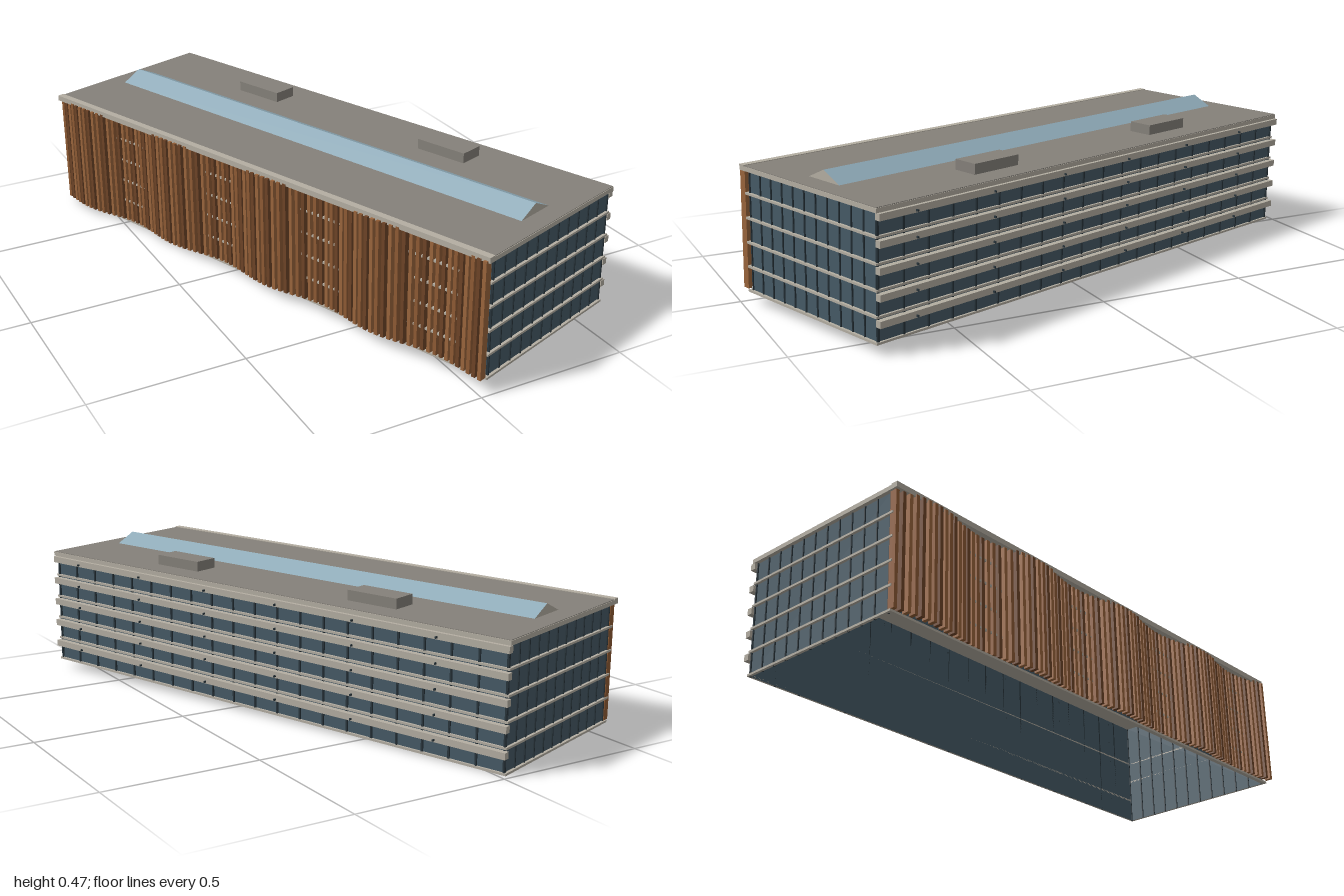
import * as THREE from 'three';

const mat = (color, side = THREE.FrontSide) => new THREE.MeshStandardMaterial({ color, side, flatShading: true });
const GLASS = mat(0x465a66, THREE.DoubleSide);
const FRAME = mat(0x28343b);
const SLAB = mat(0xb4aea2);
const ROOF = mat(0x85817a);
const SKY = mat(0x8fabb9, THREE.DoubleSide);
const WOODS = [mat(0x8f5b34), mat(0x6e4427), mat(0x9a653c)];

// Plan: x across (wood screen at -x, balconies at +x), z along the block
const WALL = { x0: -0.285, x1: 0.305, z: 0.925 };
const TOP = 0.385, FLOORS = 5, STEP = TOP / FLOORS;

// Box given by its lower and upper corners
function box(parent, name, m, [x0, y0, z0], [x1, y1, z1]) {
  const mesh = new THREE.Mesh(new THREE.BoxGeometry(x1 - x0, y1 - y0, z1 - z0), m);
  mesh.position.set((x0 + x1) / 2, (y0 + y1) / 2, (z0 + z1) / 2);
  mesh.name = name;
  parent.add(mesh);
  return mesh;
}

function group(parent, name) {
  const g = new THREE.Group();
  g.name = name;
  parent.add(g);
  return g;
}

// Thin slab edge running round the walls
function slabEdge(parent, name, y, h, outX0, outX1, outZ) {
  const g = group(parent, name);
  const { x0, x1, z } = WALL;
  for (const s of [-1, 1]) {
    const [a, b] = s < 0 ? [-outZ, -z] : [z, outZ];
    box(g, 'endEdge', SLAB, [outX0, y, a], [outX1, y + h, b]);
  }
  box(g, 'screenSideEdge', SLAB, [outX0, y, -z], [x0, y + h, z]);
  box(g, 'balconySideEdge', SLAB, [x1, y, -z], [outX1, y + h, z]);
}

export function createModel() {
  const root = new THREE.Group();
  root.name = 'officeBlock';
  root.rotation.y = 0.34;
  // The whole block leans very slightly
  const b = group(root, 'building');
  b.position.y = 0.022;
  b.rotation.set(-0.0168, 0, -0.0123);
  const { x0, x1, z } = WALL;

  // Glass walls, open underneath
  const walls = group(b, 'glassWalls');
  const wall = (name, w, x, zz, ry) => {
    const m = new THREE.Mesh(new THREE.PlaneGeometry(w, TOP), GLASS);
    m.position.set(x, TOP / 2, zz);
    m.rotation.y = ry;
    m.name = name;
    walls.add(m);
  };
  wall('frontWall', x1 - x0, (x0 + x1) / 2, z, 0);
  wall('backWall', x1 - x0, (x0 + x1) / 2, -z, Math.PI);
  wall('leftWall', 2 * z, x1, 0, Math.PI / 2);
  wall('rightWall', 2 * z, x0, 0, -Math.PI / 2);

  // Mullions on the ends and the balcony side
  const mullions = group(b, 'mullions');
  for (let i = 0; i <= 11; i++) {
    const x = x0 + (x1 - x0) * i / 11;
    for (const s of [-1, 1])
      box(mullions, 'endMullion', FRAME, [x - 0.002, 0, s * z - 0.004], [x + 0.002, TOP, s * z + 0.004]);
  }
  for (let i = 0; i <= 20; i++) {
    const zz = -z + 2 * z * i / 20;
    box(mullions, 'sideMullion', FRAME, [x1, 0, zz - 0.003], [x1 + 0.005, TOP, zz + 0.003]);
  }

  // Floor edges
  for (let f = 0; f < FLOORS; f++)
    slabEdge(b, f ? 'floorEdge' : 'baseEdge', f * STEP, 0.007, -0.3, x1 + 0.007, z + 0.009);

  // Projecting sunshade bands with their brackets
  const bands = group(b, 'sunshades');
  for (let f = 0; f < FLOORS; f++) {
    const y = f * STEP + 0.052;
    box(bands, 'sunshade', SLAB, [x1 + 0.002, y, -0.938], [0.326, y + 0.021, 0.932]);
    for (let i = 0; i < 6; i++) {
      const zz = -0.7 + i * 0.3;
      box(bands, 'bracket', FRAME, [x1, y + 0.004, zz - 0.002], [0.334, y + 0.01, zz + 0.002]);
    }
  }

  // Wooden fins standing on a wavy line
  const screen = group(b, 'woodScreen');
  const fins = 84;
  for (let i = 0; i < fins; i++) {
    const zz = -0.925 + 1.85 * i / (fins - 1);
    const x = -0.304 - 0.014 * Math.cos(2 * Math.PI * (zz - 0.09) / 0.44);
    box(screen, 'fin', WOODS[i % 3], [x - 0.012, 0.008, zz - 0.006], [x + 0.012, 0.388, zz + 0.006]);
  }

  // Roof slab with pale rim
  const roof = group(b, 'roof');
  box(roof, 'roofSlab', SLAB, [-0.32, TOP - 0.003, -0.938], [0.318, 0.396, 0.938]);
  box(roof, 'roofDeck', ROOF, [-0.297, 0.39, -0.936], [0.316, 0.398, 0.936]);
  box(roof, 'screenRim', SLAB, [-0.32, 0.39, -0.938], [-0.297, 0.4, 0.938]);

  // Ridged skylight: gable ends in roof grey, glazed slopes
  const gable = new THREE.Shape([[-0.07, 0], [0.07, 0], [0, 0.033]].map(p => new THREE.Vector2(...p)));
  const sky = new THREE.Mesh(
    new THREE.ExtrudeGeometry(gable, { depth: 1.736, bevelEnabled: false }), [SLAB, SKY]);
  sky.position.set(0, 0.398, -0.868);
  sky.name = 'skylight';
  roof.add(sky);

  // Plant boxes
  for (const s of [-1, 1])
    box(roof, 'plantBox', ROOF, [0.154, 0.396, s * 0.405 - 0.091], [0.237, 0.431, s * 0.405 + 0.091]);

  return root;
}
